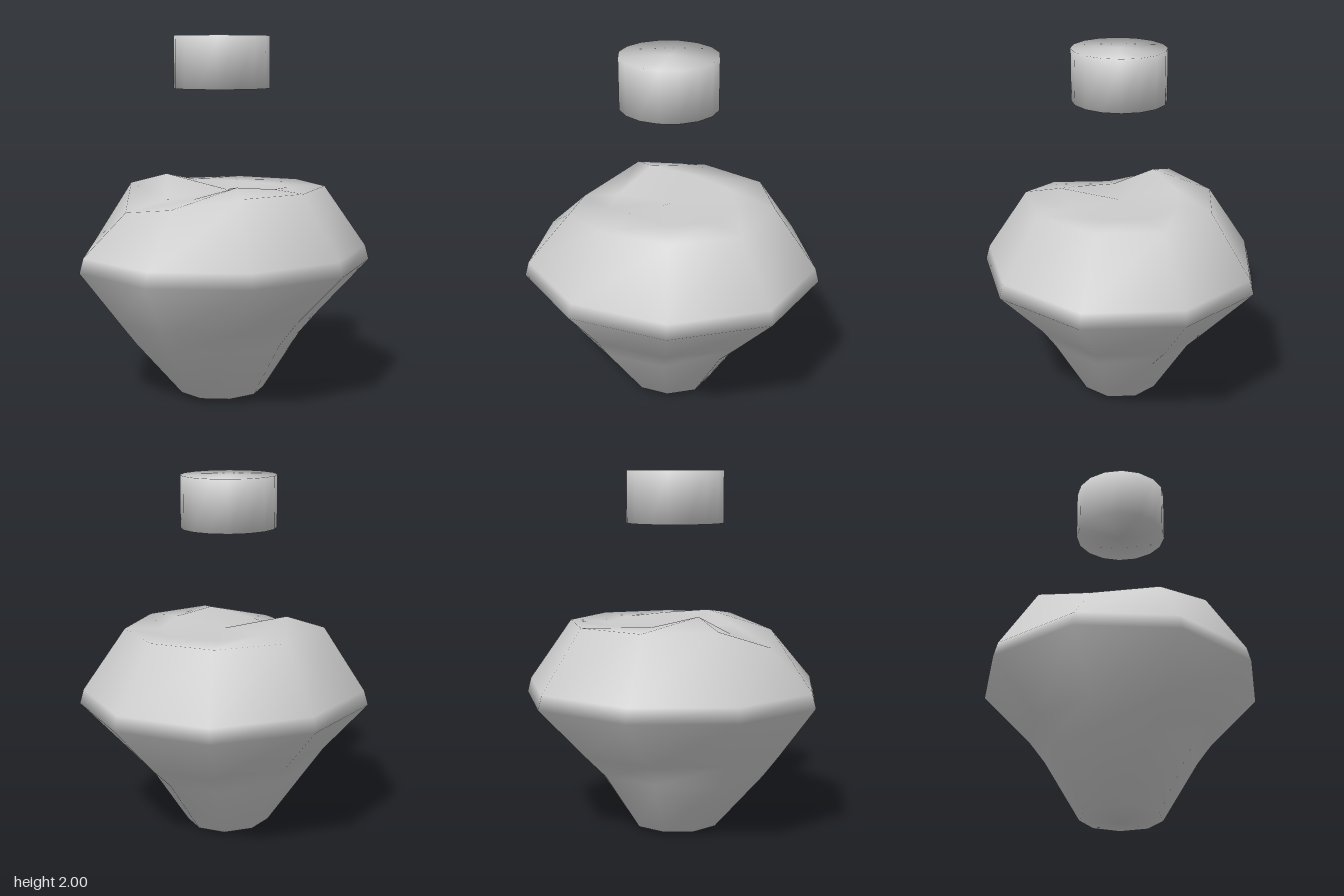
import * as THREE from 'three';
import { mergeVertices } from 'three/addons/utils/BufferGeometryUtils.js';

// nine-sided outline at the widest level, as [x, z], running from the back round by +x
const OUTLINE = [
  [0, -0.82], [0.51, -0.63], [0.76, -0.12], [0.66, 0.43], [0.27, 0.80],
  [-0.26, 0.82], [-0.67, 0.45], [-0.76, -0.12], [-0.5, -0.63],
];

// rings from bottom to top: scale in x and z, z shift, and one height or a height per corner
const RINGS = [
  { sx: 0.29, sz: 0.29, dz: 0.03, y: 0.02 },
  { sx: 0.54, sz: 0.59, dz: 0.055, y: 0.34 },
  { sx: 0.65, sz: 0.72, dz: 0.035, y: 0.46 },
  { sx: 1, sz: 1, dz: 0, y: 0.75 },
  { sx: 0.97, sz: 0.975, dz: 0, y: 0.83 },
  { sx: 0.68, sz: 0.69, dz: 0.005, y: [1.17, 1.17, 1.17, 1.17, 1.11, 1.06, 1.18, 1.17, 1.17] },
  { sx: 0.43, sz: 0.43, dz: 0, y: [1.16, 1.165, 1.18, 1.205, 1.14, 1.12, 1.235, 1.18, 1.165] },
];

function loftBody() {
  const n = OUTLINE.length;
  const points = [];
  const index = [];
  RINGS.forEach(({ sx, sz, dz, y }) => {
    OUTLINE.forEach(([x, z], j) => points.push(x * sx, Array.isArray(y) ? y[j] : y, z * sz + dz));
  });
  const bottom = RINGS.length * n;
  const top = bottom + 1;
  points.push(0, 0, 0.03, 0, 1.155, 0);

  for (let j = 0; j < n; j++) {
    const k = (j + 1) % n;
    for (let r = 0; r < RINGS.length - 1; r++) {
      const a = r * n + j, b = r * n + k;
      index.push(a, a + n, b, b, a + n, b + n);
    }
    const last = (RINGS.length - 1) * n;
    index.push(bottom, j, k, last + j, top, last + k);
  }
  const geometry = new THREE.BufferGeometry();
  geometry.setAttribute('position', new THREE.Float32BufferAttribute(points, 3));
  geometry.setIndex(index);
  geometry.computeVertexNormals();
  return geometry;
}

// cylinder with normals blended across its rims
function softCylinder(radius, height, sides) {
  const geometry = new THREE.CylinderGeometry(radius, radius, height, sides);
  geometry.deleteAttribute('uv');
  geometry.deleteAttribute('normal');
  const merged = mergeVertices(geometry);
  merged.computeVertexNormals();
  return merged;
}

export function createModel() {
  const model = new THREE.Group();
  const grey = new THREE.MeshStandardMaterial({ color: 0xcccccc });
  grey.name = 'light grey';

  // flared body with a dished, notched top
  const body = new THREE.Mesh(loftBody(), grey);
  body.name = 'body';
  model.add(body);

  // drum floating above the body
  const drum = new THREE.Mesh(softCylinder(0.257, 0.285, 16), grey);
  drum.name = 'floatingDrum';
  drum.scale.z = 1.05;
  drum.position.set(-0.005, 1.8575, 0.03);
  model.add(drum);

  return model;
}
